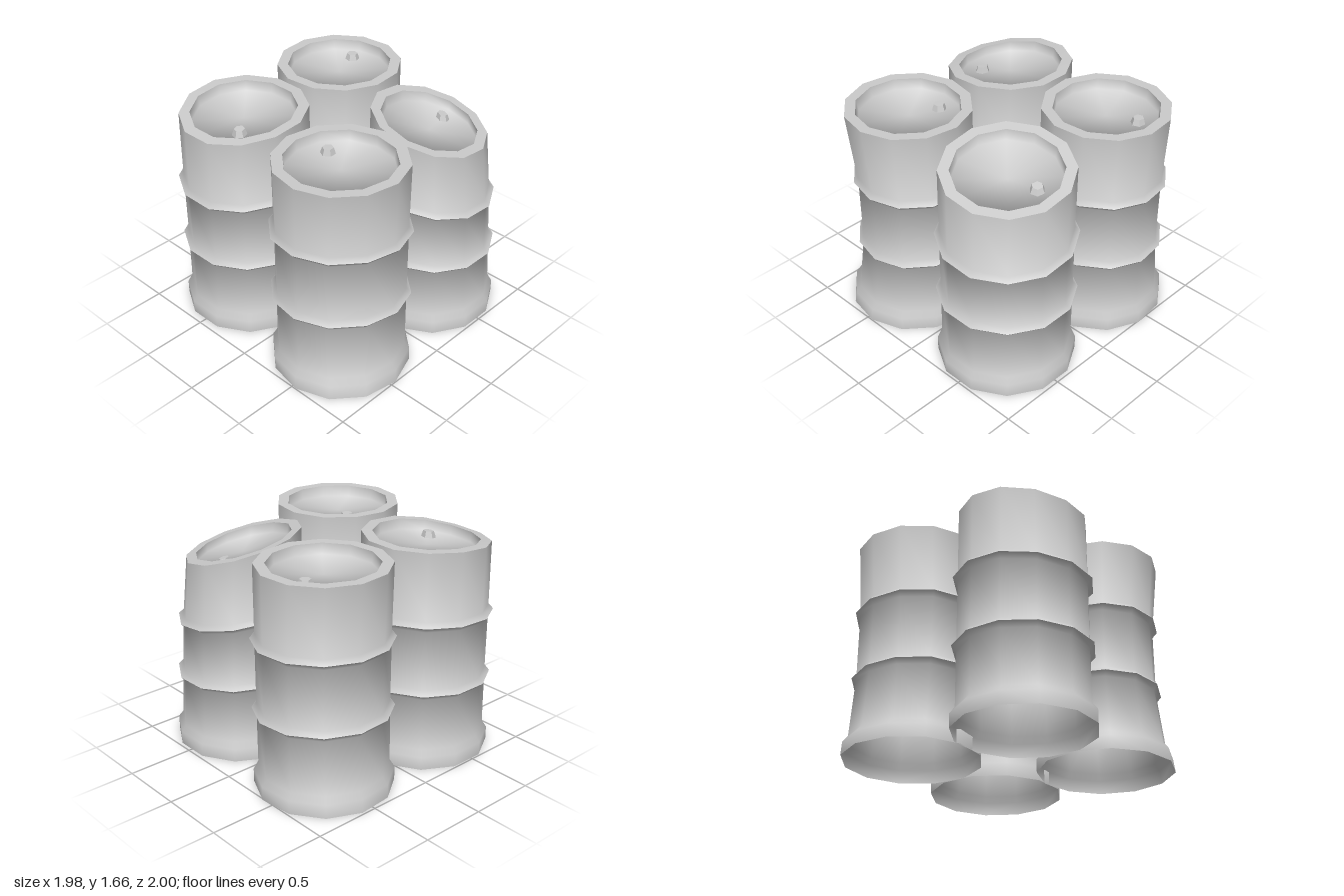
import * as THREE from 'three';
import { toCreasedNormals } from 'three/addons/utils/BufferGeometryUtils.js';

const material = new THREE.MeshStandardMaterial({ color: 0xcccccc, side: THREE.DoubleSide });
const RADIUS = 0.47;
const TOP = 1.66;
const LID_Y = 1.575;
const toPoints = (list) => list.map(([r, y]) => new THREE.Vector2(r, y));

// Open-bottomed shell: flared foot, two sharp hoops and flat rim
const SHELL = toPoints([
  [0.503, 0], [0.503, 0.1], [0.468, 0.145],
  [0.468, 0.555], [0.503, 0.592], [0.468, 0.63],
  [0.468, 1.08], [0.503, 1.118], [0.468, 1.155],
  [0.47, TOP], [0.39, TOP],
]);

// Recessed lid, shaded softly like a shallow bowl
const LID = toPoints([[0.39, TOP], [0.382, LID_Y + 0.005], [0, LID_Y]]);

// Heights at which the damage amounts (push inward, drop downward) are given
const LEVELS = [0, 0.14, 0.6, 1.12, 1.66];

const DRUMS = [
  { name: 'frontLeftDrum', at: [0.495, 0.495], turn: 0.08, bung: [-0.21, -0.095],
    dir: [0.71, 0.71], power: 1.3, push: [0, 0.02, 0.077, 0.077, 0.02], drop: [0, 0, 0.01, 0, 0] },
  { name: 'frontRightDrum', at: [-0.5, 0.455], turn: Math.PI / 12, bung: [0.135, 0.165],
    dir: [-0.1, 0.99], power: 2.5, push: [0, 0, 0.01, 0.01, 0.02], drop: [0, 0, 0.01, 0.045, 0.08] },
  { name: 'backLeftDrum', at: [0.495, -0.485], turn: Math.PI / 12, bung: [-0.05, -0.225],
    dir: [0.8, -0.6], power: 1, push: [0, 0, 0.025, 0.05, 0.1], drop: [0, 0, 0.04, 0.145, 0.225] },
  { name: 'backRightDrum', at: [-0.488, -0.513], turn: Math.PI / 12 + 0.09, bung: [-0.08, -0.225],
    dir: [-0.9, -0.43], power: 1.5, push: [0, 0.01, 0.045, 0.045, 0.01], drop: [0, 0, 0, 0, 0] },
];

function sample(values, y) {
  let i = 0;
  while (i < LEVELS.length - 2 && y > LEVELS[i + 1]) i++;
  const t = THREE.MathUtils.clamp((y - LEVELS[i]) / (LEVELS[i + 1] - LEVELS[i]), 0, 1);
  return THREE.MathUtils.lerp(values[i], values[i + 1], t);
}

// Crush one side of the drum inward and downward, fading to the far side
function crush(geometry, { dir, power, push, drop }) {
  const p = geometry.attributes.position;
  for (let i = 0; i < p.count; i++) {
    const x = p.getX(i), y = p.getY(i), z = p.getZ(i);
    const dot = (x * dir[0] + z * dir[1]) / RADIUS;
    const w = Math.pow(THREE.MathUtils.clamp((1 + dot) / 2, 0, 1), power);
    const inward = w * sample(push, y);
    p.setXYZ(i, x - dir[0] * inward, y - w * sample(drop, y), z - dir[1] * inward);
  }
  return geometry;
}

function addPart(group, name, geometry, drum, crease) {
  const mesh = new THREE.Mesh(toCreasedNormals(crush(geometry, drum), crease), material);
  mesh.name = name;
  group.add(mesh);
}

function createDrum(drum) {
  const group = new THREE.Group();
  group.name = drum.name;
  addPart(group, 'drumShell', new THREE.LatheGeometry(SHELL, 12, drum.turn), drum, 1.1);
  addPart(group, 'drumLid', new THREE.LatheGeometry(LID, 12, drum.turn), drum, Math.PI);

  // Tapered six-sided plug on the lid
  const plug = new THREE.CylinderGeometry(0.04, 0.056, 0.05, 6);
  plug.rotateY(drum.turn);
  plug.translate(drum.bung[0], LID_Y + 0.023, drum.bung[1]);
  addPart(group, 'lidPlug', plug, drum, 0.6);

  group.position.set(drum.at[0], 0, drum.at[1]);
  return group;
}

export function createModel() {
  const model = new THREE.Group();
  model.name = 'dentedDrums';
  for (const drum of DRUMS) model.add(createDrum(drum));
  return model;
}
